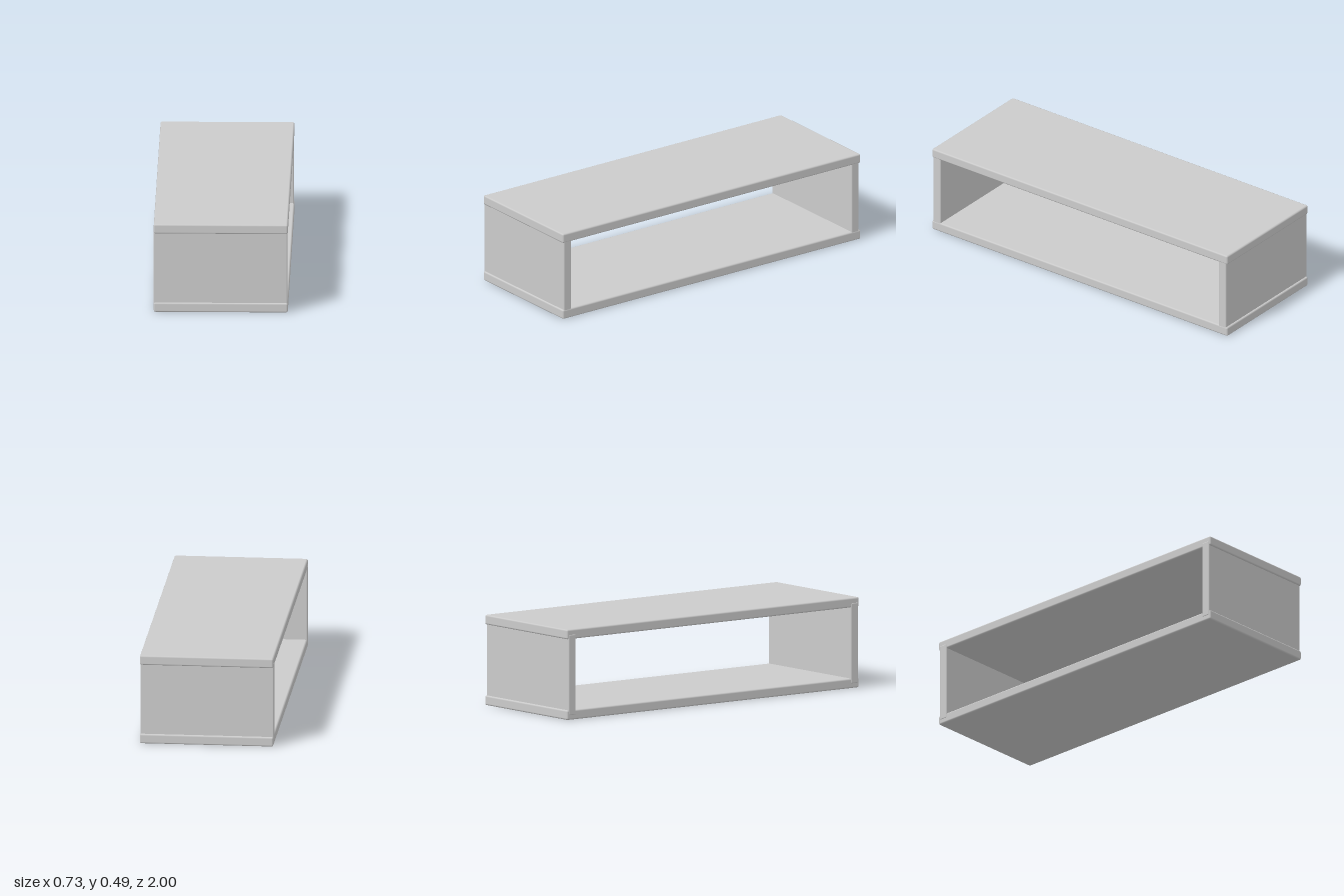
import * as THREE from 'three';
import { RoundedBoxGeometry } from 'three/addons/geometries/RoundedBoxGeometry.js';

const WIDTH = 0.724, LENGTH = 2, HEIGHT = 0.493, BOARD = 0.053;

export function createModel() {
  const group = new THREE.Group();
  group.name = 'openShelfBox';
  const material = new THREE.MeshStandardMaterial({ color: 0xcccccc });

  // board with softly bevelled edges
  const board = (name, size, bevel, position) => {
    const mesh = new THREE.Mesh(new RoundedBoxGeometry(...size, 1, bevel), material);
    mesh.name = name;
    mesh.position.set(...position);
    group.add(mesh);
  };

  // long horizontal boards
  board('bottomBoard', [WIDTH, BOARD, LENGTH], 0.009, [0, BOARD / 2, 0]);
  board('topBoard', [WIDTH, BOARD, LENGTH], 0.009, [0, HEIGHT - BOARD / 2, 0]);

  // upright end panels, let into the boards
  const low = 0.025, high = 0.465;
  for (const [name, z] of [['frontPanel', 0.967], ['backPanel', -0.965]]) {
    board(name, [WIDTH, high - low, 0.05], 0.006, [-0.002, (low + high) / 2, z]);
  }
  return group;
}
